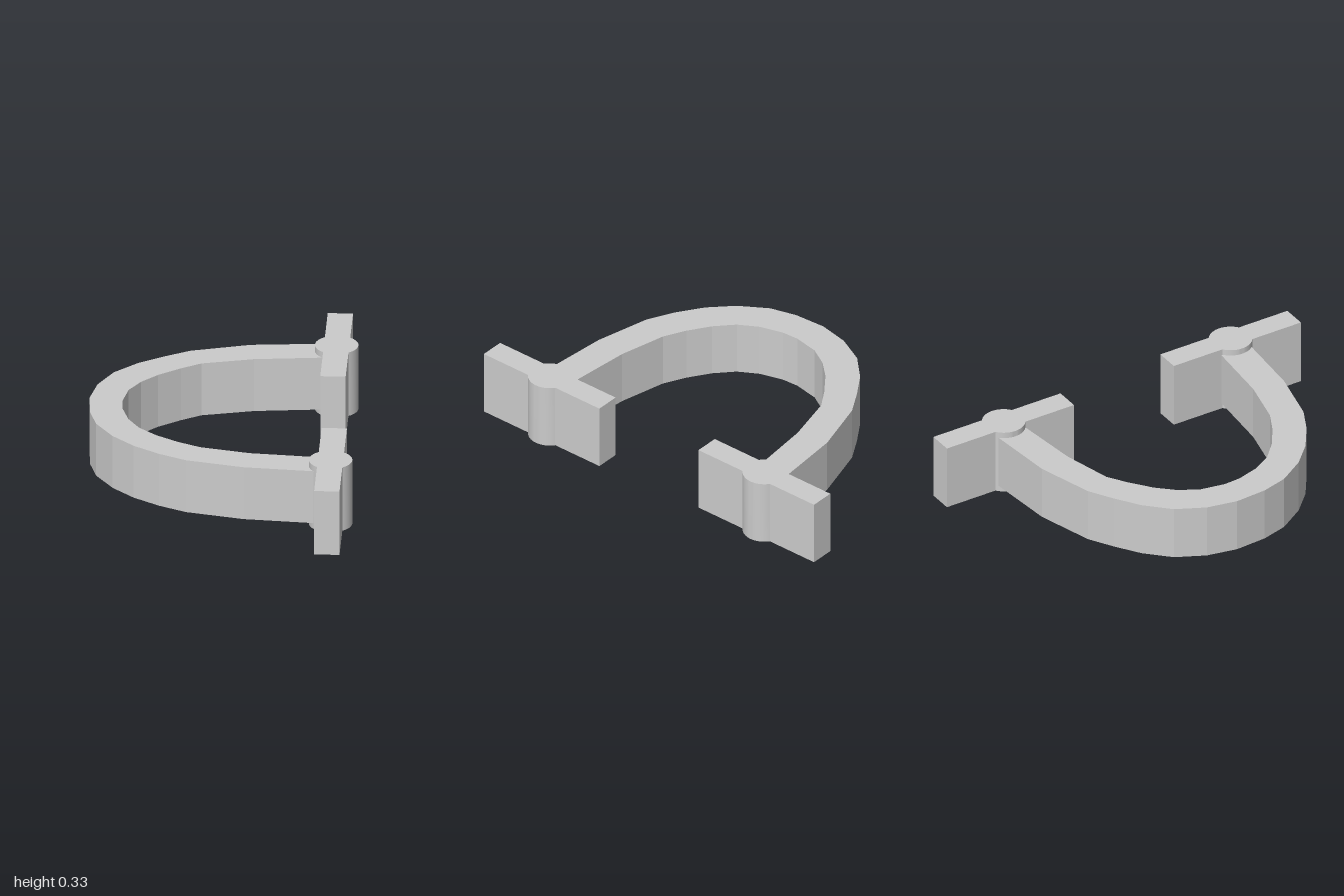
import * as THREE from 'three';
import { toCreasedNormals } from 'three/addons/utils/BufferGeometryUtils.js';

const HEIGHT = 0.33, STRAP_Y = 0.03, STRAP_HEIGHT = 0.27;

// Extrudes a plan outline (shape y = -z) upwards
function extrudeUp(shape, height, curveSegments = 10) {
  return new THREE.ExtrudeGeometry(shape, { depth: height, bevelEnabled: false, curveSegments })
    .rotateX(-Math.PI / 2);
}

// Flat plate with a round hinge barrel swelling from both faces
function createEndPlate(material) {
  const w = 0.06, len = 0.355, r = 0.103;
  const a = Math.acos(w / r);
  const s = new THREE.Shape();
  s.moveTo(-w, -len);
  s.lineTo(w, -len);
  s.absarc(0, 0, r, -a, a, false);
  s.lineTo(w, len);
  s.lineTo(-w, len);
  s.absarc(0, 0, r, Math.PI - a, Math.PI + a, false);
  s.closePath();
  return new THREE.Mesh(toCreasedNormals(extrudeUp(s, HEIGHT), 0.4), material);
}

export function createModel() {
  const group = new THREE.Group();
  const material = new THREE.MeshStandardMaterial({ color: 0xcccccc });
  const strapMaterial = new THREE.MeshStandardMaterial({ color: 0xcccccc, flatShading: true });

  // Curved strap: outer and inner edges as [x, z], from the back end to the front end
  const outer = [
    [0.5, -0.725], [0.09, -0.69], [-0.19, -0.61], [-0.31, -0.54], [-0.43, -0.46], [-0.54, -0.35],
    [-0.61, -0.21], [-0.64, -0.06], [-0.63, 0.1], [-0.595, 0.23], [-0.51, 0.365], [-0.405, 0.47],
    [-0.28, 0.555], [-0.15, 0.62], [0.125, 0.685], [0.53, 0.72],
  ];
  const inner = [
    [0.5, -0.57], [0.115, -0.53], [-0.13, -0.47], [-0.225, -0.41], [-0.33, -0.33], [-0.405, -0.25],
    [-0.46, -0.155], [-0.483, -0.03], [-0.478, 0.055], [-0.445, 0.17], [-0.39, 0.265], [-0.305, 0.345],
    [-0.2, 0.415], [-0.09, 0.47], [0.145, 0.525], [0.53, 0.56],
  ];
  const outline = [...outer, ...inner.reverse()].map(([x, z]) => new THREE.Vector2(x, -z));
  const strap = new THREE.Mesh(extrudeUp(new THREE.Shape(outline), STRAP_HEIGHT), strapMaterial);
  strap.name = 'curvedStrap';
  strap.position.y = STRAP_Y;
  group.add(strap);

  // End plates, the front one set slightly further out
  for (const [name, x, z] of [['backEndPlate', 0.5, -0.645], ['frontEndPlate', 0.535, 0.645]]) {
    const plate = createEndPlate(material);
    plate.name = name;
    plate.position.set(x, 0, z);
    group.add(plate);
  }
  return group;
}
